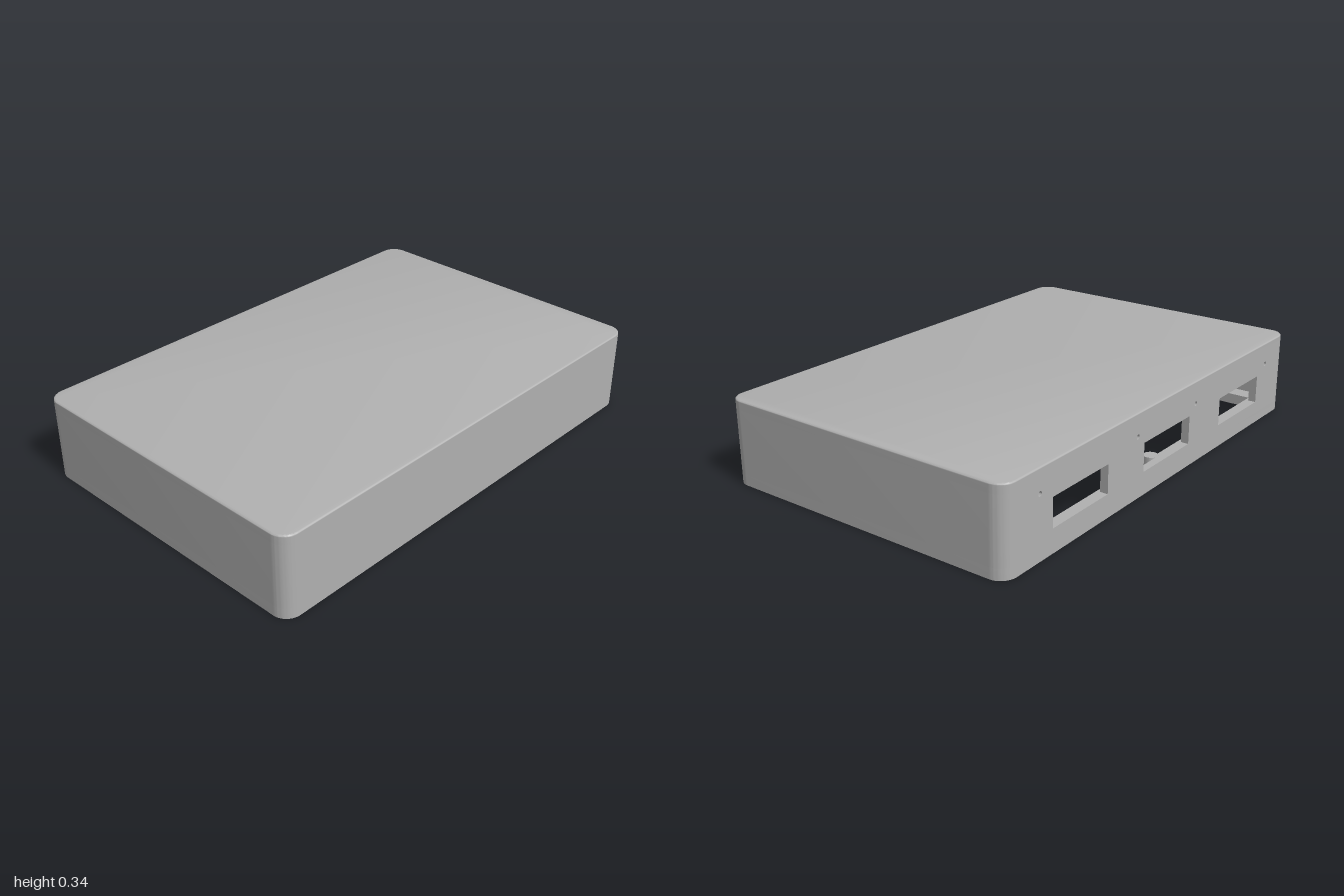
import * as THREE from 'three';
import { toCreasedNormals } from 'three/addons/utils/BufferGeometryUtils.js';

const W = 1, D = 0.655, H = 0.345, R = 0.065; // half width, half depth, height, corner radius
const WALL = 0.033, FLANGE = 0.045, CEILING = 0.308, EDGE = 0.007;

function roundedRect(hx, hz, r, target = new THREE.Shape()) {
  target.moveTo(-hx + r, -hz);
  target.lineTo(hx - r, -hz);
  target.absarc(hx - r, -hz + r, r, -Math.PI / 2, 0, false);
  target.lineTo(hx, hz - r);
  target.absarc(hx - r, hz - r, r, 0, Math.PI / 2, false);
  target.lineTo(-hx + r, hz);
  target.absarc(-hx + r, hz - r, r, Math.PI / 2, Math.PI, false);
  target.lineTo(-hx, -hz + r);
  target.absarc(-hx + r, -hz + r, r, Math.PI, Math.PI * 1.5, false);
  return target;
}

function roundHole(x, y, r) {
  const path = new THREE.Path();
  path.absarc(x, y, r, 0, Math.PI * 2, true);
  return path;
}

function rectHole(x0, x1, y0, y1) {
  return new THREE.Path([[x0, y0], [x0, y1], [x1, y1], [x1, y0]].map(p => new THREE.Vector2(...p)));
}

// Extrude a plan outline (x, z) upward between two heights
function slab(shape, y0, y1, options = {}) {
  const g = new THREE.ExtrudeGeometry(shape, { depth: y1 - y0, bevelEnabled: false, curveSegments: 10, ...options });
  g.rotateX(Math.PI / 2).translate(0, y1, 0);
  return toCreasedNormals(g, 0.6);
}

export function createModel() {
  const model = new THREE.Group();
  model.name = 'enclosure';
  const grey = new THREE.MeshStandardMaterial({ color: 0xb0b0b0 });
  grey.name = 'grey plastic';

  const add = (name, geometry, x = 0, y = 0, z = 0) => {
    const mesh = new THREE.Mesh(geometry, grey);
    mesh.name = name;
    mesh.position.set(x, y, z);
    model.add(mesh);
  };

  // Solid top with a slightly softened upper edge
  add('topPlate', slab(roundedRect(W, D, R), CEILING, H - EDGE));
  add('topEdge', slab(roundedRect(W, D, R), H - EDGE - 0.0005, H - EDGE, {
    bevelEnabled: true, bevelSize: EDGE, bevelOffset: -EDGE, bevelThickness: EDGE, bevelSegments: 3,
  }));

  // Front, side and corner walls: a U open along the middle of the back
  const r = R - WALL, c = W - R, d = D - R;
  const walls = new THREE.Shape();
  walls.moveTo(c, -D);
  walls.absarc(c, -d, R, -Math.PI / 2, 0, false);
  walls.absarc(c, d, R, 0, Math.PI / 2, false);
  walls.absarc(-c, d, R, Math.PI / 2, Math.PI, false);
  walls.absarc(-c, -d, R, Math.PI, Math.PI * 1.5, false);
  walls.lineTo(-c, -D + WALL);
  walls.absarc(-c, -d, r, Math.PI * 1.5, Math.PI, true);
  walls.absarc(-c, d, r, Math.PI, Math.PI / 2, true);
  walls.absarc(c, d, r, Math.PI / 2, 0, true);
  walls.absarc(c, -d, r, 0, -Math.PI / 2, true);
  add('sideWalls', slab(walls, FLANGE, CEILING));

  // Back wall with three ports and four small screw holes
  const back = new THREE.Shape([[-c, FLANGE], [c, FLANGE], [c, CEILING], [-c, CEILING]].map(p => new THREE.Vector2(...p)));
  for (const x of [-0.577, 0, 0.572]) back.holes.push(rectHole(x - 0.166, x + 0.166, 0.095, 0.212));
  for (const x of [-0.81, -0.212, 0.212, 0.81]) back.holes.push(roundHole(x, 0.25, 0.01));
  const backGeometry = new THREE.ExtrudeGeometry(back, { depth: WALL, bevelEnabled: false, curveSegments: 8 });
  add('backWall', toCreasedNormals(backGeometry, 0.6), 0, 0, -D);

  // Bottom flange around a large opening, with a screw boss at each hole
  const flange = roundedRect(W, D, R);
  flange.holes.push(rectHole(-W + 0.105, W - 0.105, -D + 0.105, D - 0.105));
  const bossProfile = [[0.009, 0], [0.009, 0.03], [0, 0.03], [0, 0.043], [0.03, 0.043], [0.03, 0], [0.009, 0]];
  const bossGeometry = toCreasedNormals(new THREE.LatheGeometry(
    bossProfile.map(p => new THREE.Vector2(...p)).reverse(), 20), 0.6);
  for (const i of [-1, 0, 1]) for (const j of [-1, 0, 1]) {
    if (!i && !j) continue;
    const x = i * (W - 0.07), z = j * (D - 0.07);
    flange.holes.push(roundHole(x, z, 0.009));
    add('screwBoss', bossGeometry, x, FLANGE, z);
  }
  add('bottomFlange', slab(flange, 0, FLANGE));

  // Three rows of thin ribs hanging from the ceiling
  const rib = new THREE.BoxGeometry(0.012, 0.104, 0.267);
  for (const z of [-0.305, -0.01, 0.288])
    for (const x of [0.425, 0.28, 0.05, -0.175, -0.4]) add('ceilingRib', rib, x, CEILING - 0.05, z);

  return model;
}
